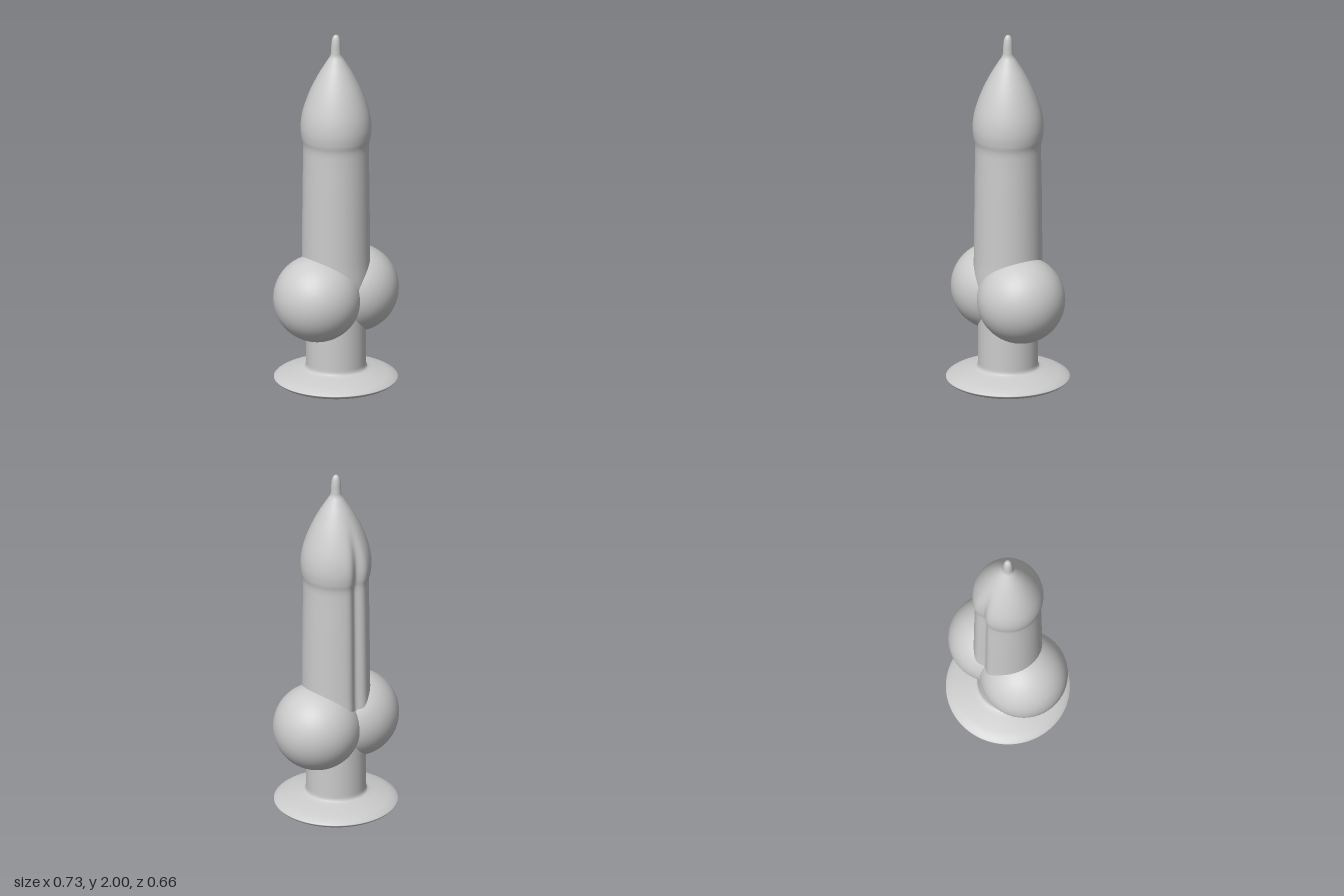
import * as THREE from 'three';
import { mergeVertices } from 'three/addons/utils/BufferGeometryUtils.js';

const material = new THREE.MeshStandardMaterial({ color: 0xcccccc });

// Smooth lathe through a few [radius, height] points
function turned(points, samples, sides) {
  const curve = new THREE.SplineCurve(points.map(([r, y]) => new THREE.Vector2(r, y)));
  const profile = curve.getPoints(samples);
  profile.forEach(p => { p.x = Math.max(p.x, 0); });
  return new THREE.LatheGeometry(profile, sides);
}

// Welds the seam and recomputes smooth normals
function smooth(geometry) {
  geometry.deleteAttribute('uv');
  geometry.deleteAttribute('normal');
  const welded = mergeVertices(geometry, 1e-5);
  welded.computeVertexNormals();
  return welded;
}

// Presses a rounded channel with raised lips into the back (-z)
function pressGroove(geometry) {
  const pos = geometry.attributes.position;
  for (let i = 0; i < pos.count; i++) {
    const x = pos.getX(i), y = pos.getY(i), z = pos.getZ(i);
    const angle = Math.atan2(x, -z);
    const fade = THREE.MathUtils.smoothstep(y, 0.5, 0.66) * (1 - THREE.MathUtils.smoothstep(y, 1.48, 1.78));
    const channel = -0.165 * Math.exp(-((angle / 0.19) ** 2));
    const lips = 0.04 * Math.exp(-((angle / 0.42) ** 2));
    const k = 1 + fade * (channel + lips);
    pos.setXYZ(i, x * k, y, z * k);
  }
}

function add(group, name, geometry) {
  const mesh = new THREE.Mesh(geometry, material);
  mesh.name = name;
  group.add(mesh);
  return mesh;
}

export function createModel() {
  const group = new THREE.Group();

  // Domed foot disc with a thin rim
  add(group, 'base', smooth(turned([
    [0, 0], [0.12, 0.007], [0.22, 0.024], [0.3, 0.048], [0.328, 0.066],
    [0.326, 0.077], [0.29, 0.096], [0.23, 0.113], [0.175, 0.127], [0.162, 0.14], [0.16, 0.16]
  ], 60, 96)));

  // Neck between foot and bulbs
  const neck = add(group, 'neck', new THREE.CylinderGeometry(0.16, 0.16, 0.4, 96, 1, true));
  neck.position.y = 0.34;

  // Column, collar, tapered head and small tip in one turned surface
  const column = turned([
    [0.16, 0.48], [0.184, 0.6], [0.182, 0.75], [0.18, 0.95], [0.178, 1.15], [0.175, 1.32],
    [0.176, 1.385], [0.185, 1.43], [0.189, 1.485], [0.182, 1.55], [0.163, 1.62],
    [0.132, 1.7], [0.092, 1.78], [0.05, 1.85], [0.031, 1.882], [0.027, 1.91],
    [0.025, 1.95], [0.02, 1.98], [0.011, 1.996], [0, 2]
  ], 140, 160);
  pressGroove(column);
  add(group, 'column', smooth(column));

  // Pair of round bulbs
  for (const [side, name] of [[1, 'leftBulb'], [-1, 'rightBulb']]) {
    const bulb = add(group, name, new THREE.SphereGeometry(0.235, 64, 48));
    bulb.position.set(side * 0.132, 0.543, 0);
  }

  return group;
}
